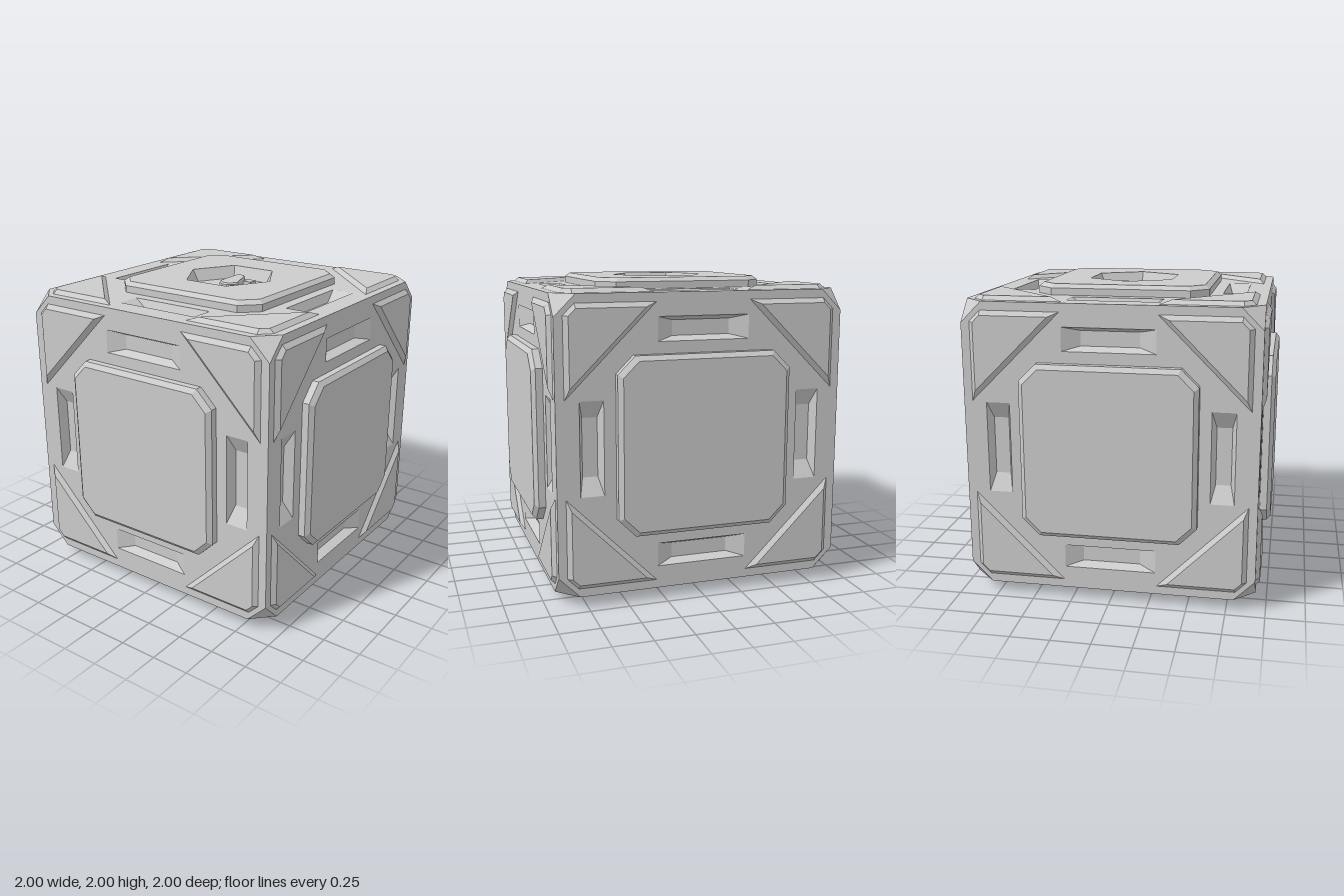
import * as THREE from 'three';

const material = new THREE.MeshStandardMaterial({ color: 0xcccccc, flatShading: true });
const HALF = 0.93; // half size of the body
const CUT = 0.135; // corner chamfer of the body

const V = (x, y) => new THREE.Vector2(x, y);

function meshFrom(positions, name) {
  const g = new THREE.BufferGeometry();
  g.setAttribute('position', new THREE.Float32BufferAttribute(positions, 3));
  g.computeVertexNormals();
  const m = new THREE.Mesh(g, material);
  m.name = name;
  return m;
}

// Joins counter-clockwise outlines [points, z] with walls and caps the last one
function loft(name, rings, holes = []) {
  const pos = [];
  for (let r = 0; r + 1 < rings.length; r++) {
    const [a, za] = rings[r], [b, zb] = rings[r + 1];
    for (let i = 0; i < a.length; i++) {
      const j = (i + 1) % a.length;
      const A = [a[i].x, a[i].y, za], B = [a[j].x, a[j].y, za];
      const C = [b[j].x, b[j].y, zb], D = [b[i].x, b[i].y, zb];
      pos.push(...A, ...B, ...C, ...A, ...C, ...D);
    }
  }
  const [top, z] = rings[rings.length - 1];
  const shape = new THREE.Shape(top);
  shape.holes = holes.map((h) => new THREE.Path(h));
  const cap = new THREE.ShapeGeometry(shape).toNonIndexed().translate(0, 0, z);
  pos.push(...cap.attributes.position.array);
  return meshFrom(pos, name);
}

// Square with cut corners
function octagon(h, c) {
  const k = h - c;
  return [V(-k, -h), V(k, -h), V(h, -k), V(h, k), V(k, h), V(-k, h), V(-h, k), V(-h, -k)];
}

function hexagon(r) {
  return Array.from({ length: 6 }, (_, i) => {
    const a = Math.PI / 6 + (i * Math.PI) / 3;
    return V(r * Math.cos(a), r * Math.sin(a));
  });
}

function rect(x, y0, y1) {
  return [V(-x, y0), V(x, y0), V(x, y1), V(-x, y1)];
}

const turn = (pts, a) => pts.map((p) => p.clone().rotateAround(V(0, 0), a));

// Corner plate outline, inset by d on every side
function cornerOutline(d) {
  const o = 0.875 - d; // outer sides
  const s = 1.68 - d * 1.1; // short diagonal by the corner
  const h = 1.178 + d * Math.SQRT2; // long diagonal
  return [V(o, h - o), V(o, s - o), V(s - o, o), V(h - o, o)];
}

function buildFace(isTop) {
  const face = new THREE.Group();
  const slotOuter = rect(0.295, 0.635, 0.785);
  const slotFloor = rect(0.185, 0.662, 0.758);
  const panel = octagon(0.56, 0.11);
  const quarters = [0, 1, 2, 3].map((i) => (i * Math.PI) / 2);

  face.add(loft('bodyWall', [[octagonBody(), HALF]],
    [panel, ...quarters.map((a) => turn(slotOuter, a))]));

  // Raised middle panel, with a six-sided recess on the top
  face.add(loft('centrePanel',
    [[panel, HALF], [panel, 0.975], [octagon(0.53, 0.098), 1]],
    isTop ? [hexagon(0.32)] : []));

  for (const a of quarters) {
    face.add(loft('slot', [[turn(slotOuter, a), HALF], [turn(slotFloor, a), 0.87]]));
    face.add(loft('cornerPlate',
      [[turn(cornerOutline(0), a), HALF], [turn(cornerOutline(0.029), a), 0.956]]));
  }

  if (isTop) addRecess(face);
  return face;
}

// Wall outline whose corners meet the cut corners of the body
function octagonBody() {
  return octagon(HALF, CUT);
}

function addRecess(face) {
  const floor = 0.92;
  face.add(loft('hexRecess', [[hexagon(0.32), 1], [hexagon(0.277), floor]]));

  // Tapered pointer lying on the recess floor
  const pointer = [
    V(-0.005, -0.068), V(0.195, 0.012), V(0.213, 0.03), V(0.213, 0.065), V(0.193, 0.082),
    V(0.01, 0.075), V(-0.035, 0.066), V(-0.068, 0.02), V(-0.068, -0.015), V(-0.04, -0.052),
  ];
  const centre = V(0.07, 0.015);
  const inner = pointer.map((p) => p.clone().lerp(centre, 0.08));
  face.add(loft('pointer', [[pointer, floor], [pointer, floor + 0.03], [inner, floor + 0.04]]));

  // Two small blocks in front of it
  for (const x of [-0.1, 0.1]) {
    const block = new THREE.Mesh(new THREE.BoxGeometry(0.065, 0.065, 0.035), material);
    block.position.set(x, -0.09, floor + 0.0175);
    block.name = 'block';
    face.add(block);
  }
}

export function createModel() {
  const model = new THREE.Group();
  model.name = 'panelledCube';
  const cube = new THREE.Group();
  cube.name = 'cube';
  cube.position.y = 1;
  model.add(cube);

  // Six faces: four round the sides, then top and bottom
  const q = Math.PI / 2;
  const faces = [
    ['frontFace', 0, 0], ['leftFace', 0, q], ['backFace', 0, 2 * q], ['rightFace', 0, -q],
    ['topFace', -q, 0], ['bottomFace', q, 0],
  ];
  for (const [name, rx, ry] of faces) {
    const face = buildFace(name === 'topFace');
    face.name = name;
    face.rotation.set(rx, ry, 0);
    cube.add(face);
  }

  // Triangles closing the eight cut corners
  const k = HALF - CUT;
  for (const x of [-1, 1]) for (const y of [-1, 1]) for (const z of [-1, 1]) {
    const a = [x * k, y * HALF, z * HALF];
    const b = [x * HALF, y * k, z * HALF];
    const c = [x * HALF, y * HALF, z * k];
    cube.add(meshFrom(x * y * z > 0 ? [...a, ...b, ...c] : [...a, ...c, ...b], 'cornerCut'));
  }
  return model;
}
